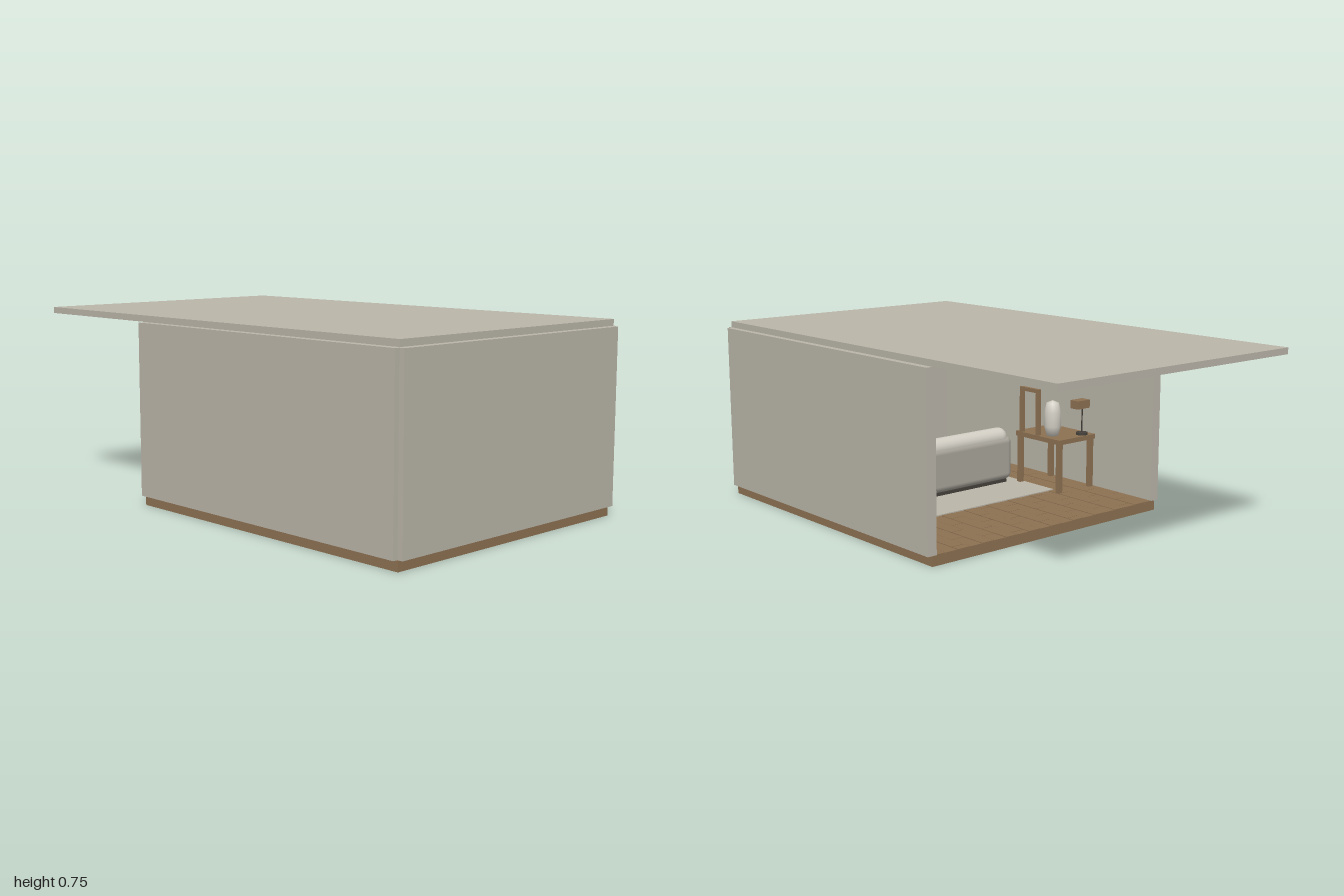
import * as THREE from 'three';
import { RoundedBoxGeometry } from 'three/addons/geometries/RoundedBoxGeometry.js';

const mat = (name, color) => Object.assign(new THREE.MeshStandardMaterial({ color }), { name });

export function createModel() {
  const plaster = mat('plaster', 0xbab5a9);
  const wood = mat('wood', 0x8d7152);
  const fabric = mat('fabric', 0xaaa69c);
  const white = mat('white', 0xd2cec4);
  const dark = mat('dark', 0x45403a);
  const room = new THREE.Group();
  room.name = 'room';

  const add = (name, geometry, material, x, y, z, parent = room) => {
    const mesh = new THREE.Mesh(geometry, material);
    mesh.name = name;
    mesh.position.set(x, y, z);
    parent.add(mesh);
    return mesh;
  };
  // box from its lower and upper limits on each axis
  const box = (name, material, [x0, x1], [y0, y1], [z0, z1], parent) =>
    add(name, new THREE.BoxGeometry(x1 - x0, y1 - y0, z1 - z0), material,
      (x0 + x1) / 2, (y0 + y1) / 2, (z0 + z1) / 2, parent);
  const group = (name) => {
    const g = new THREE.Group();
    g.name = name;
    room.add(g);
    return g;
  };

  // shell: floor slab, three walls and a roof that overhangs the open back
  box('floorSlab', wood, [-0.58, 0.58], [0, 0.037], [-0.37, 0.98]);
  box('frontWall', plaster, [-0.58, 0.58], [0.04, 0.718], [0.96, 1]);
  for (const s of [-1, 1]) {
    const wall = box('sideWall', plaster, [-0.02, 0.02], [0.04, 0.718], [-0.37, 0.978]);
    wall.position.x = s * 0.58;
  }
  box('roof', plaster, [-0.58, 0.58], [0.72, 0.745], [-1, 0.98]);

  // floorboards: narrow strips laid end to end, joints staggered
  const boards = group('floorboards');
  const strips = 20, pitch = 1.16 / strips, length = 0.18, gap = 0.003;
  for (let i = 0; i < strips; i++) {
    const x = -0.58 + i * pitch;
    let z = -0.37 - ((i * 2) % 5) * length / 5;
    for (; z < 0.96; z += length) {
      const z0 = Math.max(z, -0.37), z1 = Math.min(z + length - gap, 0.96);
      if (z1 - z0 < 0.01) continue;
      box('floorboard', wood, [x + gap / 2, x + pitch - gap / 2],
        [0.037, 0.0415 + (i % 2) * 0.001], [z0, z1], boards);
    }
  }

  // rug
  box('rug', plaster, [-0.375, 0.375], [0.04, 0.046], [0.015, 0.8]);

  // sofa with its back towards the open side
  const sofa = group('sofa');
  const cushion = (name, material, w, h, d, x, y, z) =>
    add(name, new RoundedBoxGeometry(w, h, d, 3, Math.min(w, h, d) * 0.35), material, x, y, z, sofa);
  box('sofaPlinth', dark, [-0.31, 0.31], [0.046, 0.06], [0.24, 0.52], sofa);
  cushion('sofaBase', fabric, 0.66, 0.1, 0.32, 0, 0.11, 0.38);
  cushion('sofaBack', fabric, 0.66, 0.19, 0.08, 0, 0.155, 0.26);
  const roll = add('sofaBackRoll', new THREE.CapsuleGeometry(0.04, 0.56, 6, 16), white, 0, 0.245, 0.265, sofa);
  roll.rotation.z = Math.PI / 2;
  for (const s of [-1, 1]) {
    cushion('sofaArm', fabric, 0.07, 0.15, 0.31, s * 0.3, 0.135, 0.385);
    cushion('seatCushion', white, 0.26, 0.05, 0.24, s * 0.132, 0.18, 0.42);
  }

  // four-legged table
  const table = (name, [x0, x1], top, [z0, z1], base) => {
    const g = group(name);
    box('tableTop', wood, [x0, x1], [top - 0.02, top], [z0, z1], g);
    for (const x of [x0 + 0.015, x1 - 0.015])
      for (const z of [z0 + 0.015, z1 - 0.015])
        box('tableLeg', wood, [x - 0.01, x + 0.01], [base, top - 0.02], [z - 0.01, z + 0.01], g);
    return g;
  };
  table('coffeeTable', [-0.2, 0.2], 0.17, [0.62, 0.78], 0.046);
  table('sideDesk', [-0.555, -0.345], 0.27, [-0.05, 0.22], 0.04);

  // vase on the desk
  const profile = [[0, 0], [0.025, 0], [0.036, 0.04], [0.036, 0.1], [0.026, 0.14], [0, 0.15]]
    .map(([r, y]) => new THREE.Vector2(r, y));
  add('vase', new THREE.LatheGeometry(profile, 24), white, -0.4, 0.27, 0.05);

  // open wooden frame on the desk
  const frame = group('deskFrame');
  for (const z of [0.09, 0.19])
    box('framePost', wood, [-0.363, -0.347], [0.27, 0.45], [z - 0.008, z + 0.008], frame);
  box('frameBar', wood, [-0.363, -0.347], [0.45, 0.466], [0.082, 0.198], frame);

  // desk lamp
  const lamp = group('deskLamp');
  add('lampFoot', new THREE.CylinderGeometry(0.025, 0.025, 0.01, 20), dark, -0.505, 0.275, -0.02, lamp);
  add('lampStem', new THREE.CylinderGeometry(0.003, 0.003, 0.11, 8), dark, -0.505, 0.33, -0.02, lamp);
  box('lampHead', wood, [-0.53, -0.46], [0.385, 0.42], [-0.04, 0.005], lamp);

  // wall socket
  box('wallSocket', dark, [0.554, 0.56], [0.09, 0.115], [-0.005, 0.01]);

  return room;
}
